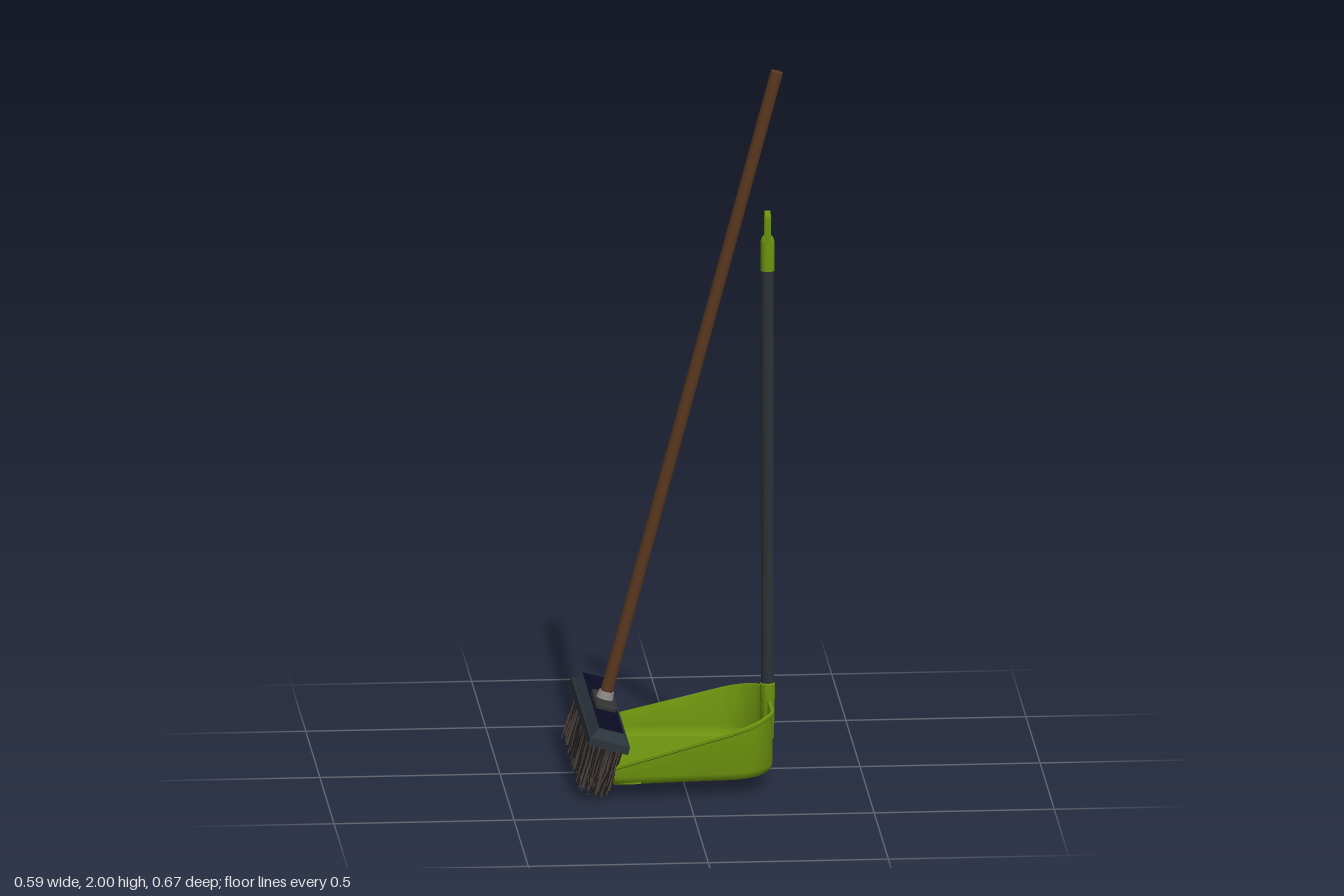
import * as THREE from 'three';
import { mergeGeometries, toCreasedNormals } from 'three/addons/utils/BufferGeometryUtils.js';
import { RoundedBoxGeometry } from 'three/addons/geometries/RoundedBoxGeometry.js';

const mat = (name, color, side = THREE.FrontSide) => {
  const m = new THREE.MeshStandardMaterial({ color, side });
  m.name = name;
  return m;
};

function addMesh(parent, name, geometry, material, x = 0, y = 0, z = 0) {
  const mesh = new THREE.Mesh(geometry, material);
  mesh.name = name;
  mesh.position.set(x, y, z);
  parent.add(mesh);
  return mesh;
}

// Tapered rectangular block, bottom [x, z] to top [x, z] size
function frustum(bottom, top, height) {
  const g = new THREE.BoxGeometry(1, height, 1);
  const p = g.attributes.position;
  for (let i = 0; i < p.count; i++) {
    const s = p.getY(i) > 0 ? top : bottom;
    p.setXYZ(i, p.getX(i) * s[0], p.getY(i), p.getZ(i) * s[1]);
  }
  return toCreasedNormals(g, 0.3);
}

// Pan plan as (x, z) points: straight side, rounded corner, then mirrored
function panOutline() {
  const half = [];
  for (let i = 0; i < 8; i++) half.push(new THREE.Vector2(-0.205 + i * 0.038, -0.271 + i * 0.003));
  for (let i = 0; i <= 12; i++) {
    const a = -Math.PI / 2 + 0.08 + (i / 12) * (Math.PI / 2 - 0.08);
    half.push(new THREE.Vector2(0.108 + 0.14 * Math.cos(a), -0.107 + 0.14 * Math.sin(a)));
  }
  return half.concat(half.slice().reverse().map((p) => new THREE.Vector2(p.x, -p.y)));
}

// Shift the outline along its outward normal
function offsetOutline(pts, d) {
  return pts.map((p, i) => {
    const t = pts[Math.min(i + 1, pts.length - 1)].clone().sub(pts[Math.max(i - 1, 0)]).normalize();
    return new THREE.Vector2(p.x + t.y * d, p.y - t.x * d);
  });
}

// Wall section swept round the outline, its rim rising towards the back
function panWall(outline) {
  const rimHeight = (x) => Math.min(0.21, 0.103 + (x + 0.19) * 0.255);
  // [outward offset, height, measured from rim?]
  const section = [
    [-0.032, 0.04, 0], [-0.016, 0.043, 0], [-0.007, 0.051, 0], [-0.004, 0.064, 0],
    [-0.003, -0.012, 1], [0, -0.009, 1], [0, -0.001, 1], [-0.002, 0, 1], [-0.009, 0, 1],
    [-0.011, -0.003, 1], [-0.012, 0.078, 0], [-0.016, 0.062, 0], [-0.024, 0.054, 0], [-0.036, 0.052, 0],
  ];
  const n = section.length, pos = [], index = [];
  const rings = section.map(([o]) => offsetOutline(outline, o));
  outline.forEach((c, i) => section.forEach(([, y, rel], j) => {
    const p = rings[j][i];
    pos.push(p.x, rel ? rimHeight(c.x) + y : y, p.y);
  }));
  for (let i = 0; i < outline.length - 1; i++) {
    for (let j = 0; j < n; j++) {
      const k = (j + 1) % n, a = i * n + j, b = a + n, d = i * n + k, c = d + n;
      index.push(a, d, c, a, c, b);
    }
  }
  const last = (outline.length - 1) * n;
  const flat = section.map(([o, y, rel]) => new THREE.Vector2(o, rel ? 0.1 + y : y));
  for (const [a, b, c] of THREE.ShapeUtils.triangulateShape(flat, [])) {
    index.push(a, b, c, last + a, last + c, last + b);
  }
  const g = new THREE.BufferGeometry();
  g.setAttribute('position', new THREE.Float32BufferAttribute(pos, 3));
  g.setIndex(index);
  return toCreasedNormals(g, 0.7);
}

// Rounded-end slot path in the shape plane
function slot(path, w, y0, y1) {
  path.moveTo(-w, y0 + w);
  path.absarc(0, y0 + w, w, Math.PI, Math.PI * 2, false);
  path.absarc(0, y1 - w, w, 0, Math.PI, false);
  path.closePath();
  return path;
}

// Tufts of thin ragged bristles hanging below the head
function bristles(seed) {
  let s = seed;
  const rnd = () => (s = (s * 16807) % 2147483647) / 2147483647;
  const list = [];
  for (let col = 0; col < 6; col++) {
    for (let row = 0; row < 36; row++) {
      const x = (col - 2.5) * 0.0155, z = (row - 17.5) * 0.018;
      for (let k = 0; k < 3; k++) {
        const len = 0.115 + rnd() * 0.033;
        const g = new THREE.CylinderGeometry(0.0022, 0.0017, len, 4, 2, false);
        const dx = -x * 0.2 + (rnd() - 0.5) * 0.026, dz = (rnd() - 0.5) * 0.024;
        const ox = x + (rnd() - 0.5) * 0.008, oz = z + (rnd() - 0.5) * 0.011;
        const p = g.attributes.position;
        for (let i = 0; i < p.count; i++) {
          const t = 0.5 - p.getY(i) / len;
          p.setXYZ(i, p.getX(i) + ox + dx * t * t, -0.008 - t * len, p.getZ(i) + oz + dz * t * t);
        }
        g.computeVertexNormals();
        list.push(g);
      }
    }
  }
  return mergeGeometries(list);
}

export function createModel() {
  const green = mat('green plastic', 0x6c920e);
  const greenTwoSided = mat('green pan plastic', 0x6c920e, THREE.DoubleSide);
  const wood = mat('brown wood', 0x5a3820);
  const pole = mat('charcoal pole', 0x2e3235);
  const slate = mat('slate plastic', 0x2b333b);
  const navy = mat('navy inset', 0x0a0b22);
  const blockGrey = mat('dark grey block', 0x333333);
  const metal = mat('pale collar', 0x8f8d8b);
  const darkHair = mat('black bristle', 0x242223);
  const paleHair = mat('taupe bristle', 0x574b44);

  const model = new THREE.Group();
  model.name = 'broomAndDustpan';

  // Dustpan
  const pan = new THREE.Group();
  pan.name = 'dustpan';
  pan.position.z = 0.05;
  model.add(pan);
  const outline = panOutline();
  addMesh(pan, 'panWall', panWall(outline), greenTwoSided);
  const floor = new THREE.ExtrudeGeometry(new THREE.Shape(offsetOutline(outline, -0.03)), { depth: 0.0115, bevelEnabled: false });
  addMesh(pan, 'panFloor', floor.rotateX(Math.PI / 2), green, 0, 0.052, 0);
  const lip = new THREE.Shape([[-0.207, 0.044], [-0.132, 0.044], [-0.132, 0.0525], [-0.153, 0.064], [-0.175, 0.062]].map((p) => new THREE.Vector2(...p)));
  addMesh(pan, 'panLip', new THREE.ExtrudeGeometry(lip, { depth: 0.516, bevelEnabled: false }), green, 0, 0, -0.258);

  // Upright dustpan handle with socket and hanging loop
  const hx = 0.239;
  const socket = [[0, 0.095], [0.014, 0.095], [0.018, 0.102], [0.021, 0.25], [0.021, 0.257], [0.018, 0.26], [0, 0.26]];
  const grip = [[0, 1.44], [0.02, 1.44], [0.02, 1.515], [0.0185, 1.528], [0.014, 1.537], [0, 1.54]];
  const lathe = (pts) => toCreasedNormals(new THREE.LatheGeometry(pts.map((p) => new THREE.Vector2(...p)), 28), 0.6);
  addMesh(pan, 'handleSocket', lathe(socket), green, hx);
  addMesh(pan, 'socketRib', new RoundedBoxGeometry(0.018, 0.07, 0.026, 2, 0.005), green, hx, 0.085);
  addMesh(pan, 'panHandle', new THREE.CylinderGeometry(0.018, 0.018, 1.2, 28), pole, hx, 0.85);
  addMesh(pan, 'handleGrip', lathe(grip), green, hx);
  const loop = slot(new THREE.Shape(), 0.0185, 1.5, 1.61);
  loop.holes.push(slot(new THREE.Path(), 0.012, 1.538, 1.603));
  const loopGeo = new THREE.ExtrudeGeometry(loop, {
    depth: 0.01, bevelEnabled: true, bevelSize: 0.001, bevelThickness: 0.003, bevelSegments: 2, curveSegments: 12,
  });
  addMesh(pan, 'hangingLoop', loopGeo.translate(0, 0, -0.005).rotateY(Math.PI / 2), green, hx);

  // Leaning broom, built upright then tilted
  const broom = new THREE.Group();
  broom.name = 'broom';
  broom.position.set(-0.223, 0.16, 0);
  broom.rotation.z = -0.262;
  model.add(broom);
  addMesh(broom, 'headRim', new THREE.BoxGeometry(0.115, 0.022, 0.665), slate);
  addMesh(broom, 'headBevel', frustum([0.106, 0.648], [0.07, 0.598], 0.026), slate, 0, 0.024);
  addMesh(broom, 'headInset', new THREE.BoxGeometry(0.069, 0.004, 0.596), navy, 0, 0.0365);
  addMesh(broom, 'handleBlock', new RoundedBoxGeometry(0.06, 0.022, 0.166, 3, 0.008), blockGrey, 0, 0.042);
  addMesh(broom, 'collar', new THREE.CylinderGeometry(0.021, 0.025, 0.026, 28), metal, 0, 0.061);
  addMesh(broom, 'broomHandle', new THREE.CylinderGeometry(0.0175, 0.0175, 1.85, 28), wood, 0, 0.975);
  addMesh(broom, 'darkBristles', bristles(17), darkHair);
  addMesh(broom, 'paleBristles', bristles(4242), paleHair);

  return model;
}
